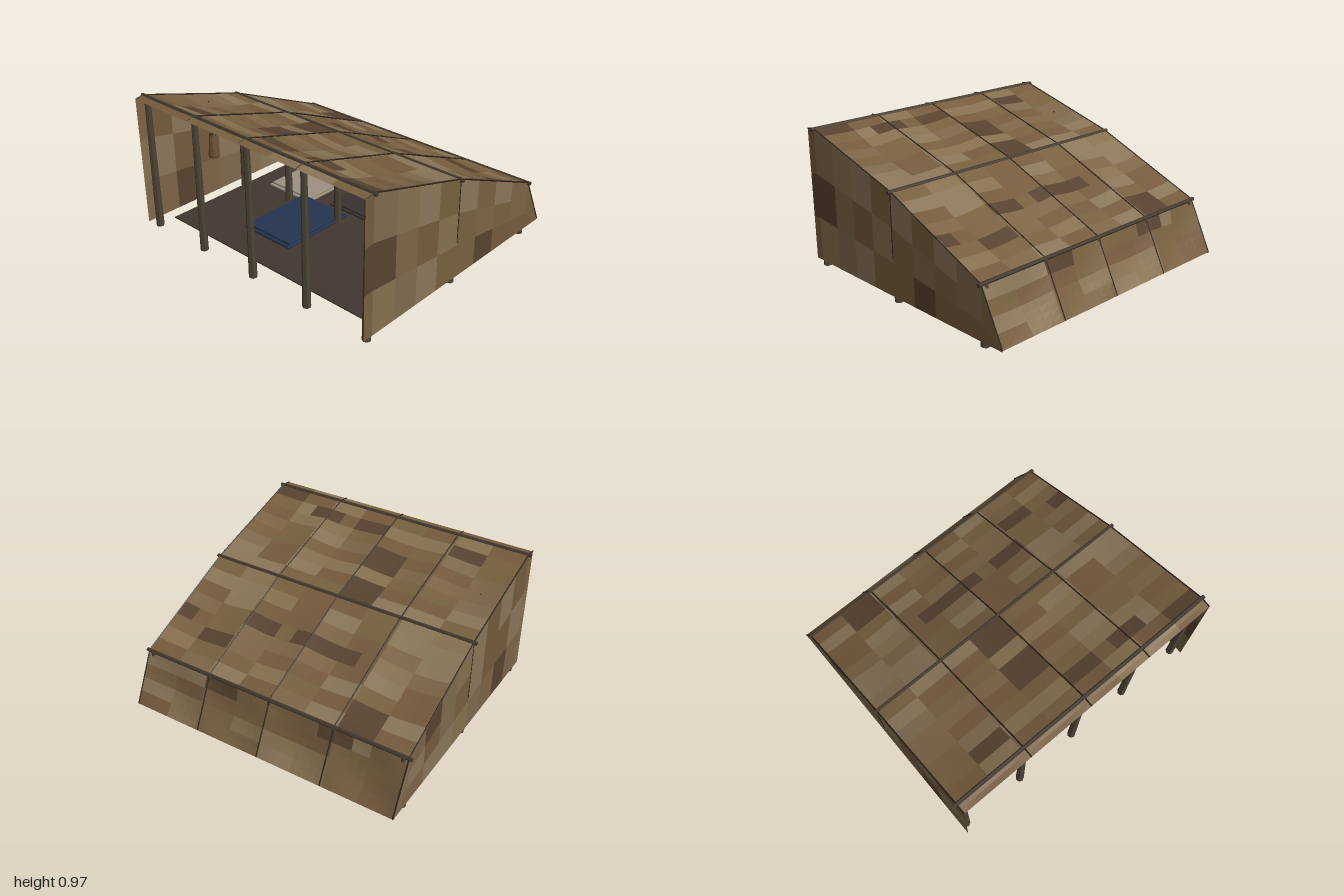
import * as THREE from 'three';
import { mergeGeometries } from 'three/addons/utils/BufferGeometryUtils.js';
import { RoundedBoxGeometry } from 'three/addons/geometries/RoundedBoxGeometry.js';

const HALF = 0.98; // half width of the cloth
const POSTS = [-0.945, -0.472, 0, 0.472, 0.945];
// tent outline from front hem to back hem: z, y, number of patch rows
const OUTLINE = [[0.91, 0.95, 1], [0.84, 0.96, 8], [0.05, 0.73, 8], [-0.74, 0.395, 4], [-0.91, 0.05, 0]];
const SHADES = [0x7f6a4e, 0x86704f, 0x77603f, 0x755a3d, 0x8a7659, 0x7d6547];
const DARK = 0x57422f;
// darker roof patches: x min, x max, z min, z max
const DARK_PATCHES = [
  [-0.74, -0.49, -0.74, -0.57], [0.49, 0.73, -0.56, -0.48], [0.85, 0.98, -0.48, -0.3],
  [-0.37, 0.12, -0.3, -0.22], [0.24, 0.49, -0.3, -0.22], [-0.25, 0, 0.05, 0.24],
  [-0.25, 0, 0.35, 0.54], [-0.74, -0.49, 0.64, 0.74], [0, 0.24, 0.64, 0.74],
  [0.37, 0.61, 0.64, 0.74], [0.73, 0.98, 0.75, 0.84], [-0.6, -0.37, -0.8, -0.74], [0.24, 0.49, -0.8, -0.74],
];

const mat = (color, double = false) => new THREE.MeshStandardMaterial({
  color, flatShading: true, side: double ? THREE.DoubleSide : THREE.FrontSide,
});

function add(parent, name, geometry, color, x = 0, y = 0, z = 0, double = false) {
  const mesh = new THREE.Mesh(geometry, mat(color, double));
  mesh.name = name;
  mesh.position.set(x, y, z);
  parent.add(mesh);
  return mesh;
}

function hash(a, b) {
  const s = Math.sin(a * 127.1 + b * 311.7) * 43758.5453;
  return s - Math.floor(s);
}

// surface patch from a function of u and v
function patch(f, u0, u1, v0, v1, nu = 1, nv = 1) {
  const p = [];
  const at = (i, j) => f(u0 + (u1 - u0) * i / nu, v0 + (v1 - v0) * j / nv);
  for (let i = 0; i < nu; i++) {
    for (let j = 0; j < nv; j++) {
      const a = at(i, j), b = at(i + 1, j), c = at(i + 1, j + 1), d = at(i, j + 1);
      p.push(...a, ...b, ...c, ...a, ...c, ...d);
    }
  }
  const g = new THREE.BufferGeometry();
  g.setAttribute('position', new THREE.Float32BufferAttribute(p, 3));
  g.computeVertexNormals();
  return g;
}

// one mesh per cloth shade
function addPatchwork(parent, name, cells, double) {
  const byColor = new Map();
  for (const { color, geometry } of cells) {
    if (!byColor.has(color)) byColor.set(color, []);
    byColor.get(color).push(geometry);
  }
  for (const [color, list] of byColor) add(parent, name, mergeGeometries(list), color, 0, 0, 0, double);
}

// point on the outline, s = panel index + fraction
function outlineAt(s) {
  const i = Math.min(Math.floor(s), OUTLINE.length - 2), t = s - i;
  const a = OUTLINE[i], b = OUTLINE[i + 1];
  return [a[0] + (b[0] - a[0]) * t, a[1] + (b[1] - a[1]) * t, t];
}

// roof cloth, sagging between the poles and seams
function roofPoint(u, s) {
  const [z, y, t] = outlineAt(s);
  const depth = s < 1 ? 0.004 : 0.024;
  const sag = depth * Math.abs(Math.sin(u * 4 * Math.PI)) * Math.sin(t * Math.PI);
  return [-HALF + 2 * HALF * u, y - sag, z + (s > 3 ? sag : 0)];
}

function liningPoint(u, s) {
  const [x, y, z] = roofPoint(1 - u, s);
  return [x * 0.998, y - 0.006, z + (s > 3 ? 0.006 : 0)];
}

function buildRoof(parent) {
  const cells = [];
  for (let k = 0; k < 4; k++) {
    const rows = OUTLINE[k][2];
    for (let r = 0; r < rows; r++) {
      const band = hash(k * 9 + r, 3);
      for (let c = 0; c < 16; c++) {
        const [z] = outlineAt(k + (r + 0.5) / rows), x = -HALF + 2 * HALF * (c + 0.5) / 16;
        const dark = DARK_PATCHES.some(d => x > d[0] && x < d[1] && z > d[2] && z < d[3]);
        const pick = hash((c >> 1) + 5, k * 9 + r) * 0.6 + band * 0.4;
        cells.push({
          color: dark ? DARK : SHADES[Math.floor(pick * SHADES.length)],
          geometry: patch(roofPoint, c / 16, (c + 1) / 16, k + r / rows, k + (r + 1) / rows, 2, 2),
        });
      }
    }
  }
  addPatchwork(parent, 'roofCloth', cells, false);
  add(parent, 'roofLining', patch(liningPoint, 0, 1, 0, 4, 32, 32), 0x4e2720);
}

function buildSideWalls(parent) {
  for (const side of [-1, 1]) {
    const point = (s, v) => {
      const [z, y] = outlineAt(s);
      return [side * HALF, 0.042 + (y - 0.042) * v, z];
    };
    const cells = [];
    for (let k = 0; k < 4; k++) {
      const columns = k === 0 || k === 3 ? 1 : 4;
      for (let c = 0; c < columns; c++) {
        for (let r = 0; r < 3; r++) {
          const h = hash(k * 5 + c + side * 20, r + 2);
          cells.push({
            color: h > 0.92 ? DARK : SHADES[Math.floor(h * 6)],
            geometry: patch(point, k + c / columns, k + (c + 1) / columns, r / 3, (r + 1) / 3),
          });
        }
      }
    }
    addPatchwork(parent, 'sideWall', cells, true);
    add(parent, 'wallSeam', new THREE.BoxGeometry(0.004, 0.43, 0.006), 0x2a221b, side * HALF, 0.51, 0.05);
  }
}

function buildFrame(parent) {
  OUTLINE.slice(1, 4).forEach(([z, y]) => {
    const pole = add(parent, 'crossPole', new THREE.CylinderGeometry(0.013, 0.013, 2, 6), 0x43382c, 0, y - 0.003, z);
    pole.rotation.z = Math.PI / 2;
    POSTS.forEach(x => add(parent, 'post', new THREE.CylinderGeometry(0.02, 0.028, y - 0.005, 7),
      0x4d4335, x, (y - 0.005) / 2, z + 0.004));
  });
  // seam cords and edge trim down the roof
  for (const x of [-HALF, -0.472, 0, 0.472, HALF]) {
    const path = new THREE.CurvePath();
    const pts = OUTLINE.map(([z, y]) => new THREE.Vector3(x, y + 0.002, z));
    for (let i = 0; i < 4; i++) path.add(new THREE.LineCurve3(pts[i], pts[i + 1]));
    add(parent, 'seamCord', new THREE.TubeGeometry(path, 60, 0.005, 4), 0x2a221b);
  }
}

// layered sleeping mat
function buildMat(parent, name, color, x0, x1, z0, z1, top) {
  const w = x1 - x0, d = z1 - z0, x = (x0 + x1) / 2, z = (z0 + z1) / 2, h = (top - 0.05) / 2;
  add(parent, name, new RoundedBoxGeometry(w, h, d, 1, 0.005), color, x, 0.05 + h / 2, z);
  add(parent, name + 'Cover', new RoundedBoxGeometry(w * 0.94, h, d * 0.94, 1, 0.005), color, x, 0.05 + h * 1.5, z);
}

function buildInterior(parent) {
  add(parent, 'groundSheet', new THREE.BoxGeometry(1.77, 0.008, 1.48), 0x43372f, 0, 0.046, 0.02);
  buildMat(parent, 'blueMat', 0x25344f, -0.42, 0.0, -0.04, 0.53, 0.085);
  buildMat(parent, 'darkMat', 0x3a3132, -0.2, 0.21, -0.62, -0.08, 0.08);
  buildMat(parent, 'paleMat', 0x9c9180, -0.73, -0.33, -0.6, 0.0, 0.08);
  buildMat(parent, 'paleMat', 0x9c9180, 0.29, 0.69, -0.54, 0.03, 0.08);
  add(parent, 'chest', new THREE.BoxGeometry(0.25, 0.095, 0.13), 0x6a3129, 0.675, 0.098, -0.64);
}

function buildLantern(parent) {
  const lantern = new THREE.Group();
  lantern.name = 'lantern';
  lantern.position.set(-0.82, 0.42, 0.43);
  add(lantern, 'lanternShade', new THREE.CylinderGeometry(0.026, 0.038, 0.16, 8), 0x6f5236, 0, 0.085, 0);
  add(lantern, 'lanternBase', new THREE.CylinderGeometry(0.038, 0.036, 0.012, 8), 0x3b2c20, 0, 0.006, 0);
  add(lantern, 'lanternCap', new THREE.CylinderGeometry(0.022, 0.027, 0.01, 8), 0x3b2c20, 0, 0.168, 0);
  const cord = new THREE.LineCurve3(new THREE.Vector3(0, 0.17, 0), new THREE.Vector3(-0.02, 0.41, 0));
  add(lantern, 'lanternCord', new THREE.TubeGeometry(cord, 1, 0.004, 5), 0x2a221b);
  parent.add(lantern);
}

export function createModel() {
  const tent = new THREE.Group();
  tent.name = 'tent';
  [buildRoof, buildSideWalls, buildFrame, buildInterior, buildLantern].forEach(build => build(tent));
  return tent;
}
